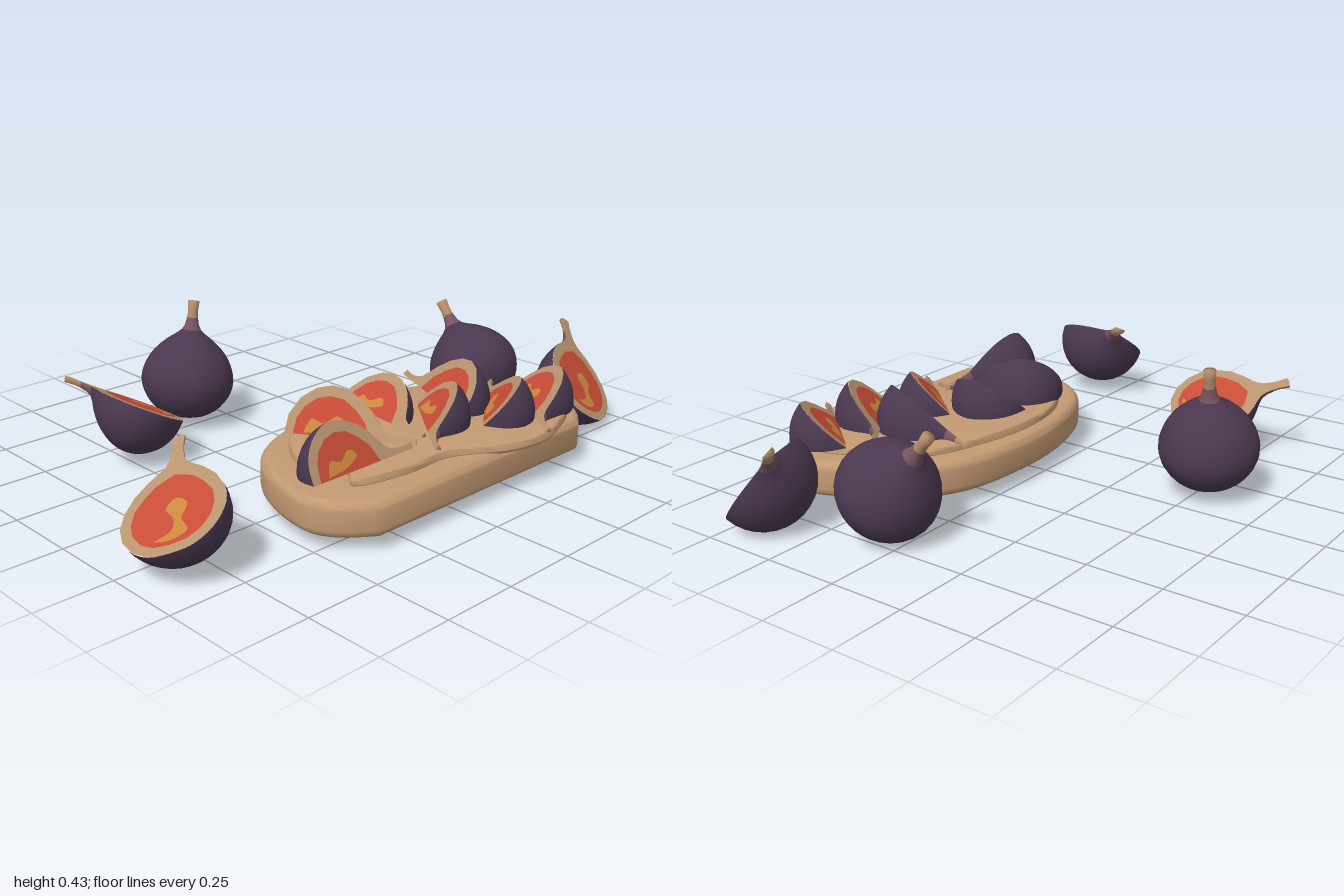
import * as THREE from 'three';
import { toCreasedNormals } from 'three/addons/utils/BufferGeometryUtils.js';

const mat = (name, color) => {
  const m = new THREE.MeshStandardMaterial({ color });
  m.name = name;
  return m;
};
const V = (x, y, z) => new THREE.Vector3(x, y, z);
const pts = (list) => list.map(([x, y]) => new THREE.Vector2(x, y));

// Fig profiles: radius, height along the fig's axis
const SKIN = [[0, 0], [0.06, 0.006], [0.113, 0.036], [0.148, 0.083], [0.16, 0.13], [0.152, 0.178],
  [0.125, 0.228], [0.085, 0.268], [0.05, 0.293], [0.033, 0.308]];
const NECK = [[0.033, 0.308], [0.024, 0.325], [0.019, 0.35]];
const STEM = [[0.019, 0.35], [0.017, 0.375], [0.02, 0.408], [0, 0.41]];
const PULP = [[0, 0.027], [0.05, 0.033], [0.088, 0.054], [0.116, 0.09], [0.126, 0.13], [0.118, 0.174],
  [0.09, 0.213], [0.054, 0.246], [0, 0.268]];
const HALF_SEEDS = [[-0.05, 0.05], [0, 0.07], [0.005, 0.11], [-0.02, 0.15], [0.01, 0.18], [0.045, 0.15],
  [0.03, 0.105], [0.05, 0.06], [0, 0.04]];
const WEDGE_SEEDS = [[0.006, 0.06], [0.05, 0.08], [0.04, 0.12], [0.065, 0.16], [0.04, 0.185], [0.015, 0.13]];
const CENTRE = 0.13;

export function createModel() {
  const model = new THREE.Group();
  const skin = mat('fig skin', 0x4b3850);
  const neck = mat('neck mauve', 0x76545f);
  const stem = mat('stem tan', 0xb48c69);
  const rim = mat('rim tan', 0xb8936f);
  const pulp = mat('red pulp', 0xc74c37);
  const seeds = mat('golden seeds', 0xcc873f);
  const bread = mat('bread', 0xc39a73);

  const add = (parent, name, geometry, material) => {
    const mesh = new THREE.Mesh(geometry, material);
    mesh.name = name;
    parent.add(mesh);
    return mesh;
  };

  // Outer body, neck and stem turned over any part of a circle
  function figBody(start = 0, length = Math.PI * 2) {
    const g = new THREE.Group();
    const segments = Math.max(8, Math.round(length * 5));
    const smooth = new THREE.SplineCurve(pts(SKIN)).getPoints(24);
    smooth.forEach((p) => { p.x = Math.max(0, p.x); });
    [['skin', smooth, skin], ['neck', pts(NECK), neck], ['stem', pts(STEM), stem]].forEach(([n, p, m]) =>
      add(g, n, new THREE.LatheGeometry(p, segments, start, length), m));
    return g;
  }

  // Cut surface: side 0 is the full outline, +1 or -1 only one half of it
  function cutFace(side) {
    const g = new THREE.Group();
    g.name = 'cutFace';
    const outline = (profile) => {
      const s = side || 1;
      const one = profile.map(([x, y]) => [x * s, y]);
      const other = side ? [] : profile.slice(1, -1).reverse().map(([x, y]) => [-x, y]);
      return new THREE.Shape(pts([...one, ...other]));
    };
    const patch = new THREE.Shape();
    const spots = side ? WEDGE_SEEDS.map(([x, y]) => [x * side, y]) : HALF_SEEDS;
    patch.moveTo(...spots[0]);
    patch.splineThru(pts([...spots.slice(1), spots[0]]));
    add(g, 'rim', new THREE.ShapeGeometry(outline([...SKIN, ...NECK.slice(1), ...STEM.slice(1)])), rim);
    add(g, 'pulp', new THREE.ShapeGeometry(outline(PULP)), pulp).position.z = 0.002;
    add(g, 'seeds', new THREE.ShapeGeometry(patch, 4), seeds).position.z = 0.004;
    return g;
  }

  // Aim local y along the axis and local z along the cut's normal
  function place(g, name, origin, axis, normal, scale = 1) {
    const y = axis.clone().normalize();
    const x = y.clone().cross(normal).normalize();
    const z = x.clone().cross(y);
    g.quaternion.setFromRotationMatrix(new THREE.Matrix4().makeBasis(x, y, z));
    g.position.copy(origin);
    g.scale.setScalar(scale);
    g.name = name;
    model.add(g);
  }
  function placeByCentre(g, name, centre, tip, normal) {
    const axis = tip.clone().sub(centre).normalize();
    place(g, name, centre.clone().addScaledVector(axis, -CENTRE), axis, normal);
  }

  // Whole figs
  placeByCentre(figBody(), 'wholeFigBack', V(-0.145, 0.172, -0.53), V(-0.09, 0.44, -0.55), V(0, 0, 1));
  placeByCentre(figBody(), 'wholeFigSide', V(0.69, 0.163, 0.07), V(0.705, 0.36, -0.095), V(0, 0, 1));

  // Halved figs: centre of the cut, stem tip, direction the cut faces
  [
    ['halfFigLeft', V(0.84, 0.163, 0.43), V(0.965, 0.325, 0.26), V(0.25, 0.6, 0.75)],
    ['halfFigRight', V(-0.865, 0.2, 0.345), V(-0.7, 0.315, 0.16), V(-0.55, 0.83, 0)],
    ['halfFigBack', V(-0.45, 0.2, -0.36), V(-0.585, 0.275, -0.575), V(0.45, 0.85, 0)],
  ].forEach(([name, centre, tip, normal]) => {
    const g = figBody(Math.PI / 2, Math.PI);
    g.add(cutFace(0));
    placeByCentre(g, name, centre, tip, normal);
  });

  // Wedges on the bread: tip x z, base x z, axis height, side of the bulge, lean in degrees
  [
    [-0.07, 0.475, -0.475, 0.475, 0.2, -1, 62],
    [-0.05, 0.47, -0.27, 0.12, 0.2, -1, 58],
    [-0.03, 0.47, 0.015, 0.07, 0.22, -1, 40],
    [-0.06, 0.55, 0.19, 0.25, 0.215, -1, 46],
    [0.37, 0.02, 0.2, 0.42, 0.21, 1, 50],
    [0.52, 0.27, 0.2, 0.52, 0.21, 1, 46],
    [0.32, 0.665, 0.58, 0.34, 0.2, -1, 42],
  ].forEach(([tx, tz, bx, bz, h, side, lean], i) => {
    const t = THREE.MathUtils.degToRad(lean);
    const w = t + 0.12;
    const axis = V(tx - bx, 0, tz - bz);
    const length = axis.length();
    axis.normalize();
    const bulge = V(-axis.z, 0, axis.x).multiplyScalar(side);
    const normal = V(0, Math.cos(t), 0).addScaledVector(bulge, -Math.sin(t));
    const g = figBody(side > 0 ? Math.PI / 2 : Math.PI * 1.5 - w, w);
    const under = cutFace(-side);
    under.rotation.y = side * w + Math.PI;
    g.add(cutFace(side), under);
    place(g, 'figWedge' + (i + 1), V(bx, h, bz), axis, normal, length / 0.41);
  });

  // Flat slab with rounded edges, outline given in x and z
  function slab(name, outline, top, height, bevel) {
    const shape = new THREE.Shape(outline);
    const geo = new THREE.ExtrudeGeometry(shape, {
      depth: height - 2 * bevel, bevelThickness: bevel, bevelSize: bevel, bevelOffset: -bevel, bevelSegments: 4,
    });
    geo.rotateX(Math.PI / 2);
    add(model, name, toCreasedNormals(geo, 0.9), bread).position.y = top - bevel;
  }

  // Bread slice: domed crust with one straight cut side
  const crust = new THREE.SplineCurve(pts([[0.55, 0.63], [0.635, 0.56], [0.68, 0.44], [0.63, 0.3], [0.53, 0.14],
    [0.37, 0.025], [0.1, -0.01], [-0.15, 0.02], [-0.34, 0.1], [-0.45, 0.24], [-0.5, 0.44], [-0.46, 0.55],
    [-0.36, 0.63]])).getPoints(48);
  slab('breadSlice', crust, 0.17, 0.115, 0.028);

  // Soft spread that runs slightly over the cut side
  const spread = new THREE.CatmullRomCurve3([[-0.35, 0.5], [-0.17, 0.55], [0, 0.55], [0.1, 0.6], [0.2, 0.65],
    [0.33, 0.665], [0.45, 0.63], [0.56, 0.57], [0.6, 0.45], [0.54, 0.3], [0.43, 0.14], [0.25, 0.07],
    [0.05, 0.04], [-0.15, 0.07], [-0.28, 0.15], [-0.36, 0.3], [-0.3, 0.42]].map(([x, z]) => V(x, z, 0)), true)
    .getPoints(64).slice(0, -1).map((p) => new THREE.Vector2(p.x, p.y));
  slab('spread', spread, 0.195, 0.035, 0.014);

  return model;
}
